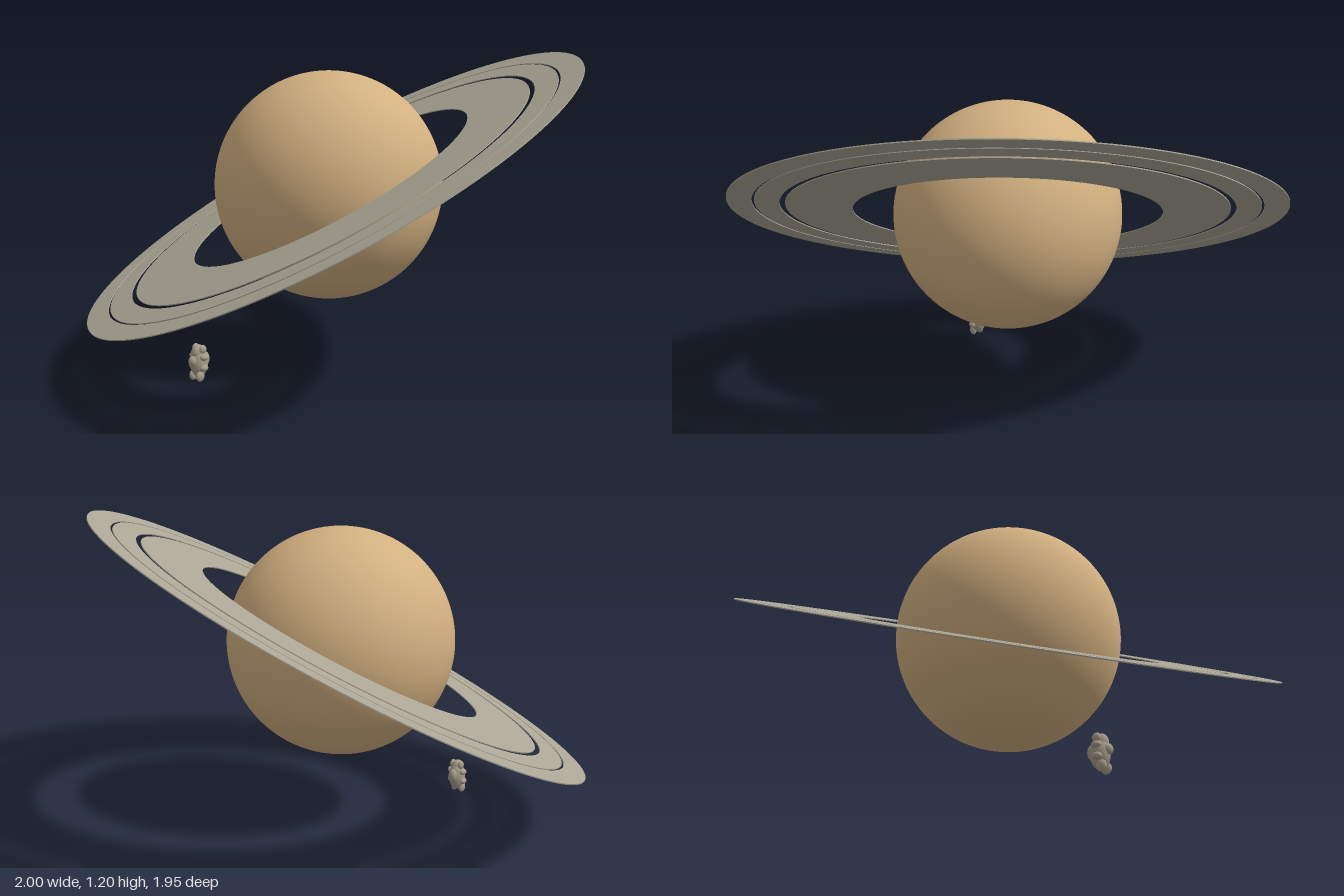
import * as THREE from 'three';

const mat = (name, color) => {
  const m = new THREE.MeshStandardMaterial({ color });
  m.name = name;
  return m;
};

export function createModel() {
  const tan = mat('tan', 0xd2b080);
  const ringGrey = mat('ring grey', 0xaaa595);
  const rockGrey = mat('rock grey', 0xa69c8a);

  const model = new THREE.Group();
  model.name = 'ringedPlanet';
  const add = (parent, name, geometry, material) => {
    const mesh = new THREE.Mesh(geometry, material);
    mesh.name = name;
    parent.add(mesh);
    return mesh;
  };

  // Planet
  add(model, 'planet', new THREE.SphereGeometry(0.435, 96, 64), tan).position.y = 0.705;

  // Three thin ring bands with narrow gaps, tilted together
  const rings = new THREE.Group();
  rings.name = 'rings';
  rings.position.y = 0.705;
  const tilt = new THREE.Vector3(-0.3, 0.88, 0.366).normalize();
  rings.quaternion.setFromUnitVectors(new THREE.Vector3(0, 0, 1), tilt);
  const thickness = 0.004;
  const bands = [['innerRing', 0.587, 0.836], ['middleRing', 0.856, 0.948], ['outerRing', 0.956, 1.047]];
  for (const [name, inner, outer] of bands) {
    const shape = new THREE.Shape().absarc(0, 0, outer, 0, Math.PI * 2);
    shape.holes.push(new THREE.Path().absarc(0, 0, inner, 0, Math.PI * 2, true));
    const geometry = new THREE.ExtrudeGeometry(shape, { depth: thickness, bevelEnabled: false, curveSegments: 160 });
    geometry.translate(0, 0, -thickness / 2);
    add(rings, name, geometry, ringGrey);
  }
  model.add(rings);

  // Small lumpy moonlet: a core with mirrored lobes
  const moonlet = new THREE.Group();
  moonlet.name = 'moonlet';
  moonlet.position.set(-0.213, 0.072, 0.49);
  const lobe = (name, x, y, z, rx, ry, rz) => {
    const mesh = add(moonlet, name, new THREE.SphereGeometry(1, 20, 14), rockGrey);
    mesh.position.set(x, y, z);
    mesh.scale.set(rx, ry, rz);
  };
  lobe('core', 0, 0, 0, 0.032, 0.058, 0.036);
  lobe('crown', 0, 0.036, 0.004, 0.023, 0.032, 0.028);
  lobe('frontBulge', 0, 0.008, 0.026, 0.019, 0.022, 0.021);
  lobe('backBulge', 0, 0.006, -0.026, 0.02, 0.03, 0.02);
  for (const side of [-1, 1]) {
    lobe('upperLobe', side * 0.019, 0.05, -0.002, 0.011, 0.017, 0.016);
    lobe('shoulderLobe', side * 0.029, 0.022, 0, 0.014, 0.012, 0.018);
    lobe('hipLobe', side * 0.029, -0.018, 0.002, 0.013, 0.013, 0.018);
    lobe('lowerLobe', side * 0.018, -0.05, 0.012, 0.011, 0.021, 0.019);
  }
  model.add(moonlet);

  return model;
}
